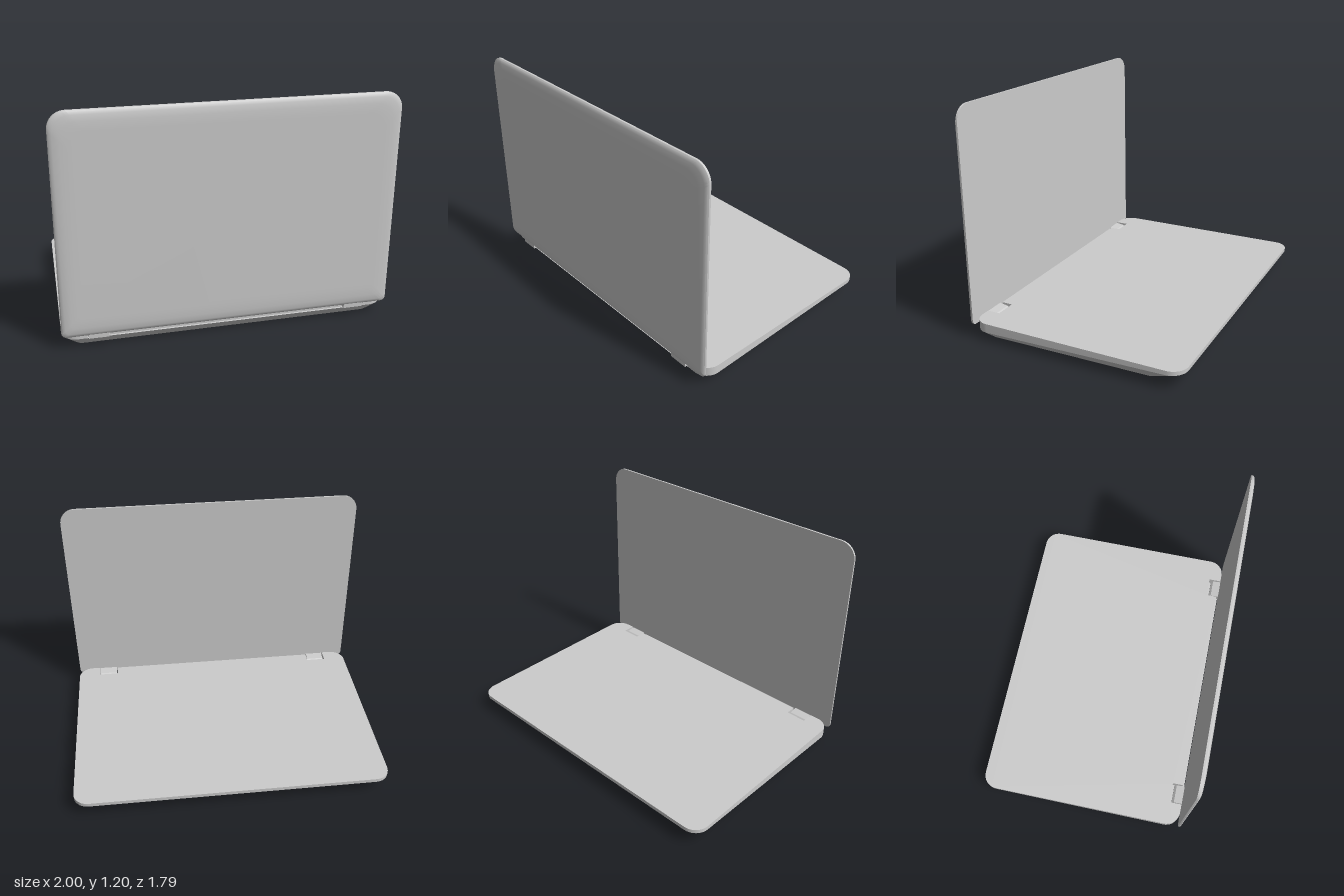
import * as THREE from 'three';
import { toCreasedNormals } from 'three/addons/utils/BufferGeometryUtils.js';

const material = new THREE.MeshStandardMaterial({ color: 0xcccccc });

// Counterclockwise rounded rectangle; separate radii for bottom and top corners
function roundedRect(x0, y0, x1, y1, rBottom, rTop, n = 10) {
  const corners = [
    [x0 + rBottom, y0 + rBottom, rBottom, 2],
    [x1 - rBottom, y0 + rBottom, rBottom, 3],
    [x1 - rTop, y1 - rTop, rTop, 0],
    [x0 + rTop, y1 - rTop, rTop, 1],
  ];
  const points = [];
  for (const [cx, cy, r, quarter] of corners) {
    for (let i = 0; i <= n; i++) {
      const a = (quarter + i / n) * Math.PI / 2;
      points.push(new THREE.Vector2(cx + r * Math.cos(a), cy + r * Math.sin(a)));
    }
  }
  return points;
}

// Closed skin over rings of equal count, stacked along +z; height is a number or a rule of y
function loft(rings) {
  const position = [];
  const index = [];
  const n = rings[0].points.length;
  for (const { points, height } of rings) {
    for (const p of points) position.push(p.x, p.y, typeof height === 'function' ? height(p.y) : height);
  }
  for (let r = 0; r < rings.length - 1; r++) {
    for (let i = 0; i < n; i++) {
      const a = r * n + i, b = r * n + (i + 1) % n;
      index.push(a, b, b + n, a, b + n, a + n);
    }
  }
  const last = (rings.length - 1) * n;
  for (let i = 1; i < n - 1; i++) {
    index.push(0, i + 1, i, last, last + i, last + i + 1);
  }
  const geometry = new THREE.BufferGeometry();
  geometry.setAttribute('position', new THREE.Float32BufferAttribute(position, 3));
  geometry.setIndex(index);
  return toCreasedNormals(geometry, 0.45);
}

function addMesh(parent, name, geometry) {
  const mesh = new THREE.Mesh(geometry, material);
  mesh.name = name;
  parent.add(mesh);
  return mesh;
}

const HALF = 0.84;    // half width
const HINGE = -0.545; // hinge edge of the base (y of its plan, which is -z)
const FAR = 0.6;      // far edge of the base
const TOP = 0.1;
const along = (y) => (y - HINGE) / (FAR - HINGE);
const rimHeight = (y) => 0.05 + 0.03 * along(y);
const floorHeight = (y) => 0.015 * along(y);

export function createModel() {
  const model = new THREE.Group();
  model.name = 'laptop';
  const body = new THREE.Group();
  body.name = 'openLaptop';
  body.rotation.y = -THREE.MathUtils.degToRad(28.4);
  model.add(body);

  // Tapered underside, thinner and more undercut at the far edge
  const underside = loft([
    { points: roundedRect(-HALF + 0.058, HINGE + 0.043, HALF - 0.058, FAR - 0.145, 0.05, 0.05), height: floorHeight },
    { points: roundedRect(-HALF, HINGE, HALF, FAR, 0.08, 0.08), height: rimHeight },
  ]);
  addMesh(body, 'baseUnderside', underside.rotateX(-Math.PI / 2));

  // Upper deck with two hinge notches and a shallow gap between them
  const outline = roundedRect(-HALF, HINGE, HALF, FAR, 0.08, 0.08);
  const notch = [[0.715, 0], [0.715, 0.07], [0.605, 0.07], [0.605, 0.01]];
  const cut = [
    ...notch.map(([x, d]) => new THREE.Vector2(-x, HINGE + d)),
    ...notch.slice().reverse().map(([x, d]) => new THREE.Vector2(x, HINGE + d)),
  ];
  outline.splice(11, 0, ...cut);
  const deck = new THREE.ExtrudeGeometry(new THREE.Shape(outline), { depth: TOP, bevelEnabled: false });
  const p = deck.attributes.position;
  for (let i = 0; i < p.count; i++) {
    if (p.getZ(i) < TOP / 2) p.setZ(i, rimHeight(p.getY(i)));
  }
  addMesh(body, 'baseDeck', toCreasedNormals(deck.rotateX(-Math.PI / 2), 0.45));

  // Upright lid: flat inside, softly rounded outside
  const lidRing = (inset, height) => ({
    points: roundedRect(-HALF + inset, 0.073 + inset, HALF - inset, 1.2 - inset, 0.025, 0.085),
    height,
  });
  addMesh(body, 'lid', loft([
    lidRing(0, 0.546), lidRing(0, 0.556), lidRing(0.006, 0.562),
    lidRing(0.02, 0.567), lidRing(0.05, 0.571), lidRing(0.09, 0.572),
  ]));

  // Hinge blocks, profile drawn as (z, y)
  const profile = [[0.488, 0.055], [0.56, 0.055], [0.56, 0.08], [0.546, 0.097], [0.5, 0.09], [0.488, 0.08]];
  const hingeShape = new THREE.Shape(profile.map(([z, y]) => new THREE.Vector2(-z, y)));
  for (const side of [-1, 1]) {
    const block = new THREE.ExtrudeGeometry(hingeShape, { depth: 0.1, bevelEnabled: false });
    block.translate(0, 0, -0.05).rotateY(Math.PI / 2);
    const hinge = addMesh(body, side > 0 ? 'leftHinge' : 'rightHinge', block);
    hinge.position.x = side * 0.66;
  }
  return model;
}
